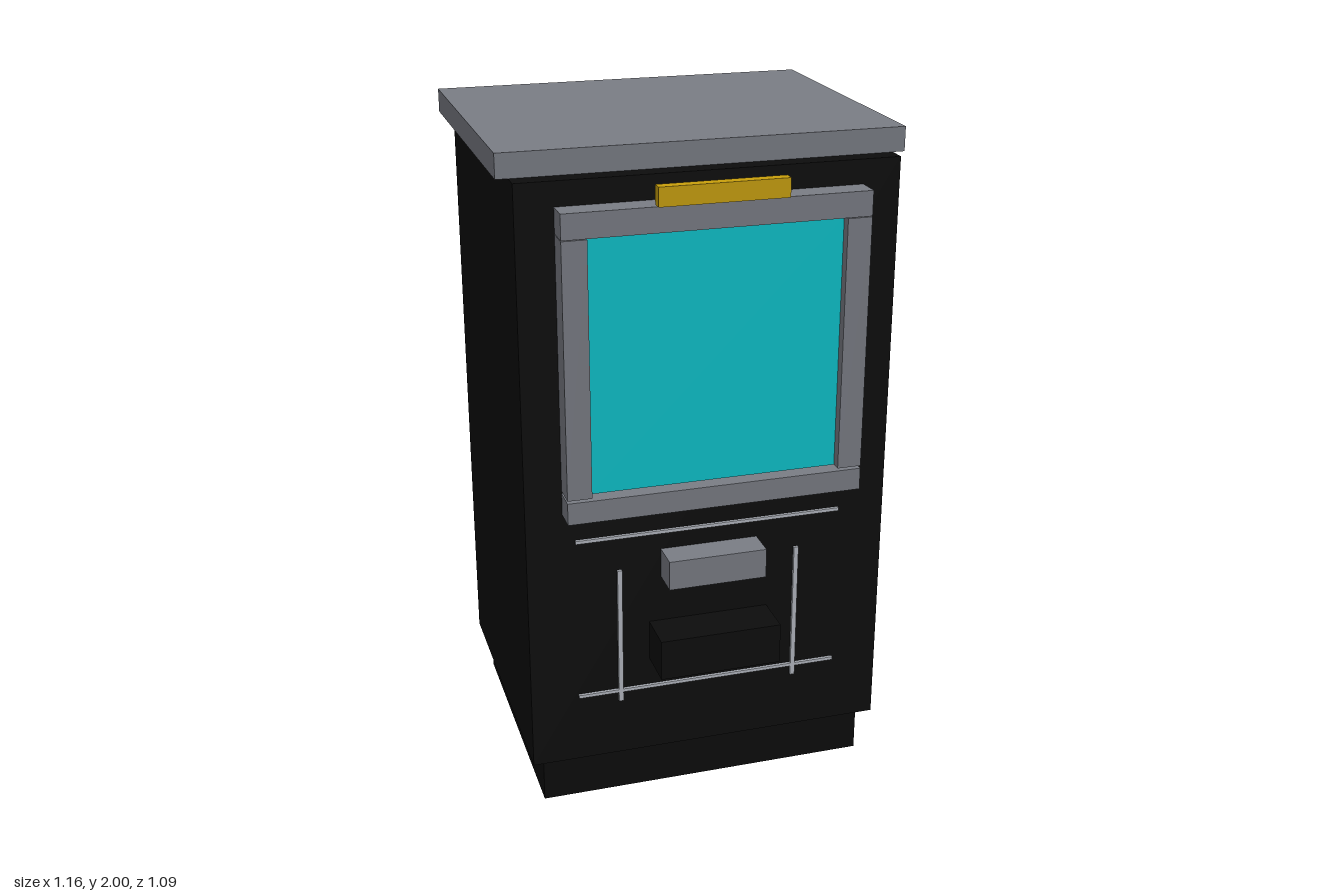
import * as THREE from 'three';

const mat = (name, color) => {
  const m = new THREE.MeshStandardMaterial({ color });
  m.name = name;
  return m;
};

export function createModel() {
  const black = mat('black', 0x0d0d0d);
  const grey = mat('grey', 0x7a7d85);
  const silver = mat('silver', 0xb4b8c0);
  const cyan = mat('cyan', 0x0dc3cc);
  const gold = mat('gold', 0xc9a00c);

  const model = new THREE.Group();
  model.name = 'kiosk';

  // Box given by its extents along each axis
  const box = (name, material, [x0, x1], [y0, y1], [z0, z1], parent = model) => {
    const mesh = new THREE.Mesh(new THREE.BoxGeometry(x1 - x0, y1 - y0, z1 - z0), material);
    mesh.position.set((x0 + x1) / 2, (y0 + y1) / 2, (z0 + z1) / 2);
    mesh.name = name;
    parent.add(mesh);
  };
  const wide = (h) => [-h, h];

  // Cabinet body, plinth and offset roof slab
  box('plinth', black, wide(0.508), [0, 0.15], [-0.452, 0.382]);
  box('cabinet', black, wide(0.545), [0.15, 1.93], [-0.487, 0.417]);
  box('roof', grey, wide(0.58), [1.93, 2], [-0.545, 0.362]);

  // Screen and its raised frame
  const frame = new THREE.Group();
  frame.name = 'screenFrame';
  model.add(frame);
  const depth = [0.417, 0.49];
  box('topRail', grey, wide(0.437), [1.788, 1.86], depth, frame);
  box('bottomRail', grey, wide(0.437), [0.968, 1.034], depth, frame);
  box('leftPost', grey, [0.366, 0.437], [1.042, 1.786], depth, frame);
  box('rightPost', grey, [-0.437, -0.366], [1.042, 1.786], depth, frame);
  box('screen', cyan, wide(0.368), [1.042, 1.787], [0.417, 0.46]);

  // Sign strip above the screen
  box('signStrip', gold, wide(0.183), [1.868, 1.922], [0.496, 0.528]);

  // Handle and tray on the lower panel
  box('handle', grey, wide(0.147), [0.73, 0.82], [0.417, 0.508]);
  box('tray', black, wide(0.183), [0.46, 0.585], [0.417, 0.546]);

  // Thin trim lines on the lower panel
  for (const y of [0.368, 0.878]) {
    box('horizontalTrim', silver, wide(0.402), [y - 0.005, y + 0.005], [0.417, 0.426]);
  }
  for (const x of [-0.273, 0.271]) {
    box('verticalTrim', silver, [x - 0.007, x + 0.007], [0.333, 0.77], [0.417, 0.426]);
  }

  return model;
}
